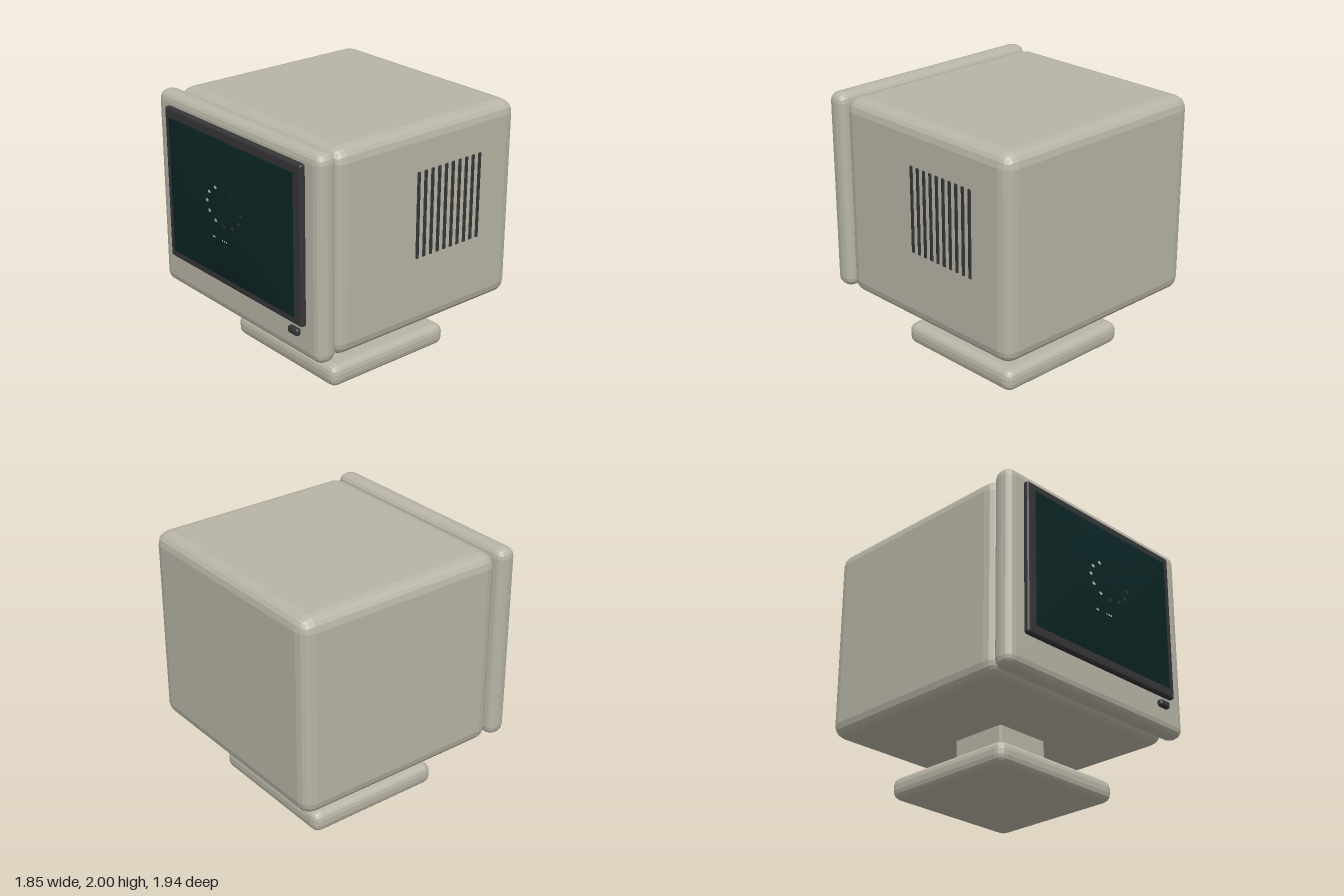
import * as THREE from 'three';
import { RoundedBoxGeometry } from 'three/addons/geometries/RoundedBoxGeometry.js';

const mat = (name, color, extra = {}) => {
  const m = new THREE.MeshStandardMaterial({ color, ...extra });
  m.name = name;
  return m;
};

export function createModel() {
  const casing = mat('beige casing', 0xb8b5a6);
  const trim = mat('charcoal trim', 0x363537);
  const glass = mat('dark teal glass', 0x0c2525, { side: THREE.DoubleSide });
  const pale = mat('pale pixels', 0xb9bba8);
  const dim = mat('dim pixels', 0x35393a);

  const model = new THREE.Group();
  model.name = 'monitor';

  const add = (name, geometry, material, parent = model) => {
    const mesh = new THREE.Mesh(geometry, material);
    mesh.name = name;
    parent.add(mesh);
    return mesh;
  };
  // Faceted rounded box given by its extents
  const block = (name, [x0, x1], [y0, y1], [z0, z1], radius, segments, material, parent) => {
    const g = new RoundedBoxGeometry(x1 - x0, y1 - y0, z1 - z0, segments, radius);
    g.computeVertexNormals();
    g.translate((x0 + x1) / 2, (y0 + y1) / 2, (z0 + z1) / 2);
    return add(name, g, material, parent);
  };

  // Stand
  block('base', [-0.58, 0.58], [0, 0.17], [-0.645, 0.468], 0.065, 2, casing);
  block('neck', [-0.23, 0.23], [0.12, 0.55], [-0.341, 0.119], 0.015, 1, casing);

  // Housing and front surround
  block('housing', [-0.905, 0.905], [0.47, 1.99], [-0.97, 0.717], 0.1, 2, casing);
  block('bezel', [-0.925, 0.925], [0.478, 2], [0.712, 0.875], 0.07, 2, casing);
  block('screenFrame', [-0.776, 0.776], [0.735, 1.912], [0.86, 0.914], 0.02, 2, trim);
  block('powerButton', [0.615, 0.722], [0.645, 0.702], [0.868, 0.915], 0.02, 2, trim);

  // Bulging screen: flat at the rim, domed in the middle
  const W = 0.71, H = 0.523, CY = 1.322;
  const screenZ = (x, y) => 0.925 + 0.049 * (1 - (x / W) ** 2) * (1 - ((y - CY) / H) ** 2);
  const dome = new THREE.PlaneGeometry(W * 2, H * 2, 24, 24);
  dome.translate(0, CY, 0);
  const p = dome.attributes.position;
  for (let i = 0; i < p.count; i++) p.setZ(i, screenZ(p.getX(i), p.getY(i)));
  dome.computeVertexNormals();
  add('screen', dome, glass);

  // Ring of progress dots on the screen, bright on the left half
  const ring = new THREE.Group();
  ring.name = 'progressRing';
  model.add(ring);
  const dot = new THREE.CircleGeometry(0.016, 10);
  for (let i = 0; i < 12; i++) {
    if (i === 2 || i === 0) continue;
    const a = (i / 12) * Math.PI * 2;
    const x = 0.195 * Math.sin(a), y = 1.382 + 0.142 * Math.cos(a);
    const d = add('progressDot', dot, i > 6 ? pale : dim, ring);
    d.position.set(x, y, screenZ(x, y) + 0.002);
    d.scale.set(1.05, i === 1 ? 0.3 : 0.8, 1);
  }

  // Small status dashes beneath the ring
  [[-0.13, 0.03], [-0.03, 0.012], [-0.008, 0.012], [0.014, 0.012]].forEach(([x, w]) => {
    const d = add('statusDash', new THREE.PlaneGeometry(w, 0.014), pale, ring);
    d.position.set(x, 1.122, screenZ(x, 1.122) + 0.002);
  });

  // Vent slats on the left side
  for (let i = 0; i < 10; i++) {
    const z = -0.019 - i * 0.065;
    block('ventSlat', [0.88, 0.911], [1.02, 1.672], [z - 0.015, z + 0.015], 0.006, 1, trim);
  }

  return model;
}
